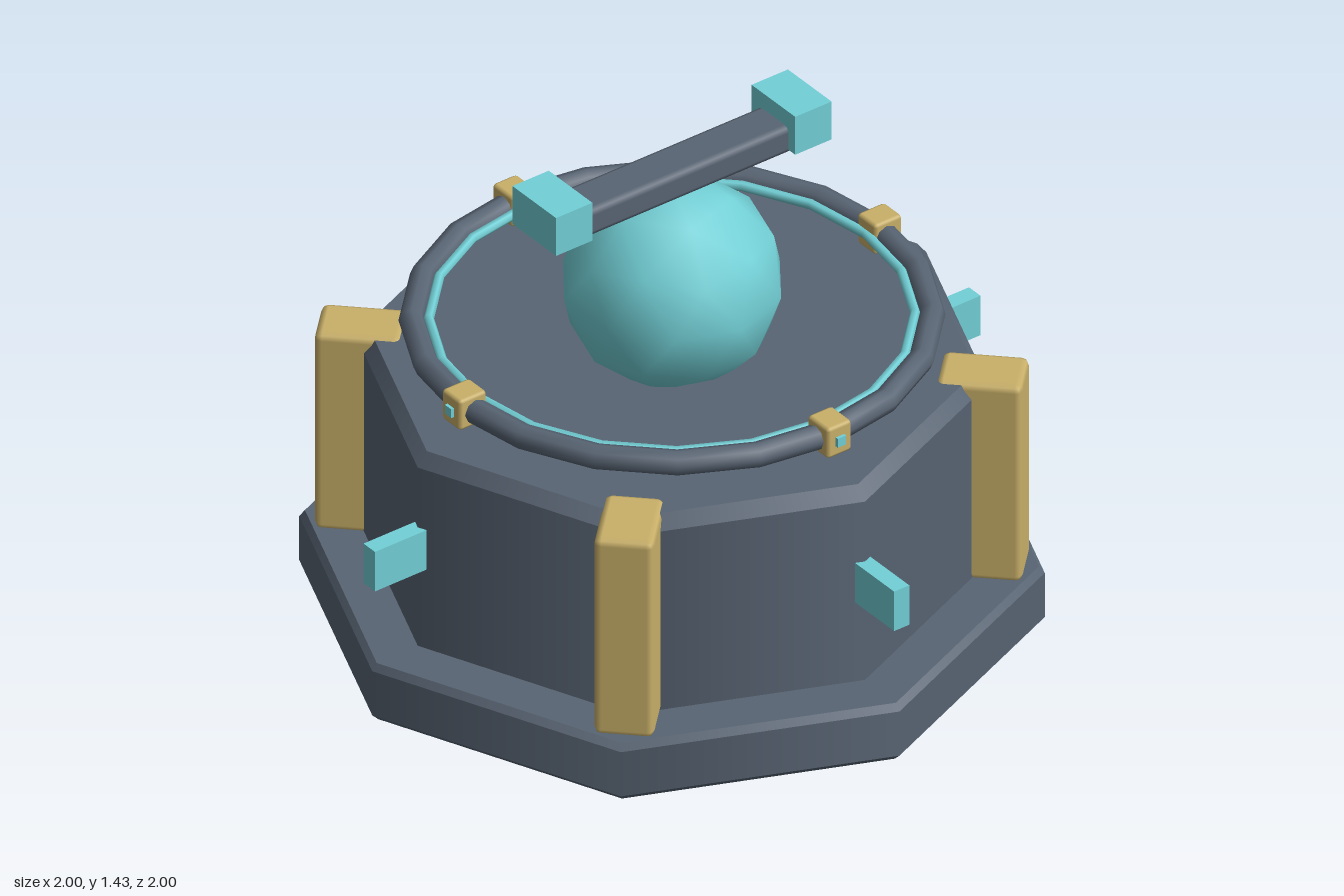
import * as THREE from 'three';
import { RoundedBoxGeometry } from 'three/addons/geometries/RoundedBoxGeometry.js';

const material = (name, color) => {
  const m = new THREE.MeshStandardMaterial({ color });
  m.name = name;
  return m;
};

// Octagonal solid; doubled profile points keep the bevel edges crisp
function octagonSolid(radius, bottom, top, bevelLow, bevelHigh) {
  const corners = [
    [radius - bevelLow, bottom],
    [radius, bottom + bevelLow],
    [radius, top - bevelHigh],
    [radius - bevelHigh * 0.75, top],
  ];
  const profile = [
    [0, bottom],
    ...corners.flatMap((p) => [p, p]),
    [0, top],
  ].map(([x, y]) => new THREE.Vector2(x, y));
  const geometry = new THREE.LatheGeometry(profile, 8);
  geometry.normalizeNormals();
  return geometry;
}

export function createModel() {
  const model = new THREE.Group();
  model.name = 'orbPedestal';
  const slate = material('slate', 0x596574);
  const teal = material('teal', 0x72d0d6);
  const gold = material('gold', 0xc9b069);

  const add = (name, geometry, mat, x = 0, y = 0, z = 0, parent = model) => {
    const mesh = new THREE.Mesh(geometry, mat);
    mesh.name = name;
    mesh.position.set(x, y, z);
    parent.add(mesh);
    return mesh;
  };

  // Plinth and drum, with corners on the x and z axes
  add('base', octagonSolid(0.99, 0, 0.18, 0.02, 0.02), slate);
  add('drum', octagonSolid(0.84, 0.17, 0.785, 0.001, 0.04), slate);

  // Corner pillars on the diagonals
  for (let i = 0; i < 4; i++) {
    const side = new THREE.Group();
    side.name = 'pillarMount';
    side.rotation.y = Math.PI / 4 + (i * Math.PI) / 2;
    model.add(side);
    add('pillar', new RoundedBoxGeometry(0.16, 0.62, 0.23, 1, 0.02), gold, 0, 0.482, 0.825, side);
  }

  // Fins on the drum, and ring clamps with a small stud
  for (let i = 0; i < 4; i++) {
    const side = new THREE.Group();
    side.name = 'sideFittings';
    side.rotation.y = (i * Math.PI) / 2;
    model.add(side);
    add('fin', new THREE.BoxGeometry(0.05, 0.125, 0.2), teal, 0, 0.493, 0.9, side);
    add('clamp', new RoundedBoxGeometry(0.08, 0.095, 0.09, 1, 0.01), gold, 0, 0.882, 0.686, side);
    add('stud', new THREE.BoxGeometry(0.028, 0.028, 0.03), teal, 0, 0.882, 0.725, side);
  }

  // Floating ring with a glowing inner band
  const ring = add('ring', new THREE.TorusGeometry(0.685, 0.035, 8, 20), slate, 0, 0.88, 0);
  ring.rotation.x = Math.PI / 2;
  const band = add('innerBand', new THREE.TorusGeometry(0.64, 0.014, 6, 20), teal, 0, 0.885, 0);
  band.rotation.x = Math.PI / 2;

  // Orb, turned so one of its points faces straight up
  const orb = new THREE.IcosahedronGeometry(0.3, 1);
  orb.rotateX(-Math.atan((1 + Math.sqrt(5)) / 2));
  orb.rotateY(-Math.PI / 2);
  add('orb', orb, teal, 0, 1.0, 0);

  // Crossbar with end blocks
  add('crossbar', new RoundedBoxGeometry(0.84, 0.085, 0.13, 1, 0.018), slate, 0, 1.338, 0);
  for (const s of [-1, 1]) {
    add(s > 0 ? 'leftEndBlock' : 'rightEndBlock', new THREE.BoxGeometry(0.12, 0.12, 0.19), teal, s * 0.395, 1.37, 0);
  }

  return model;
}
